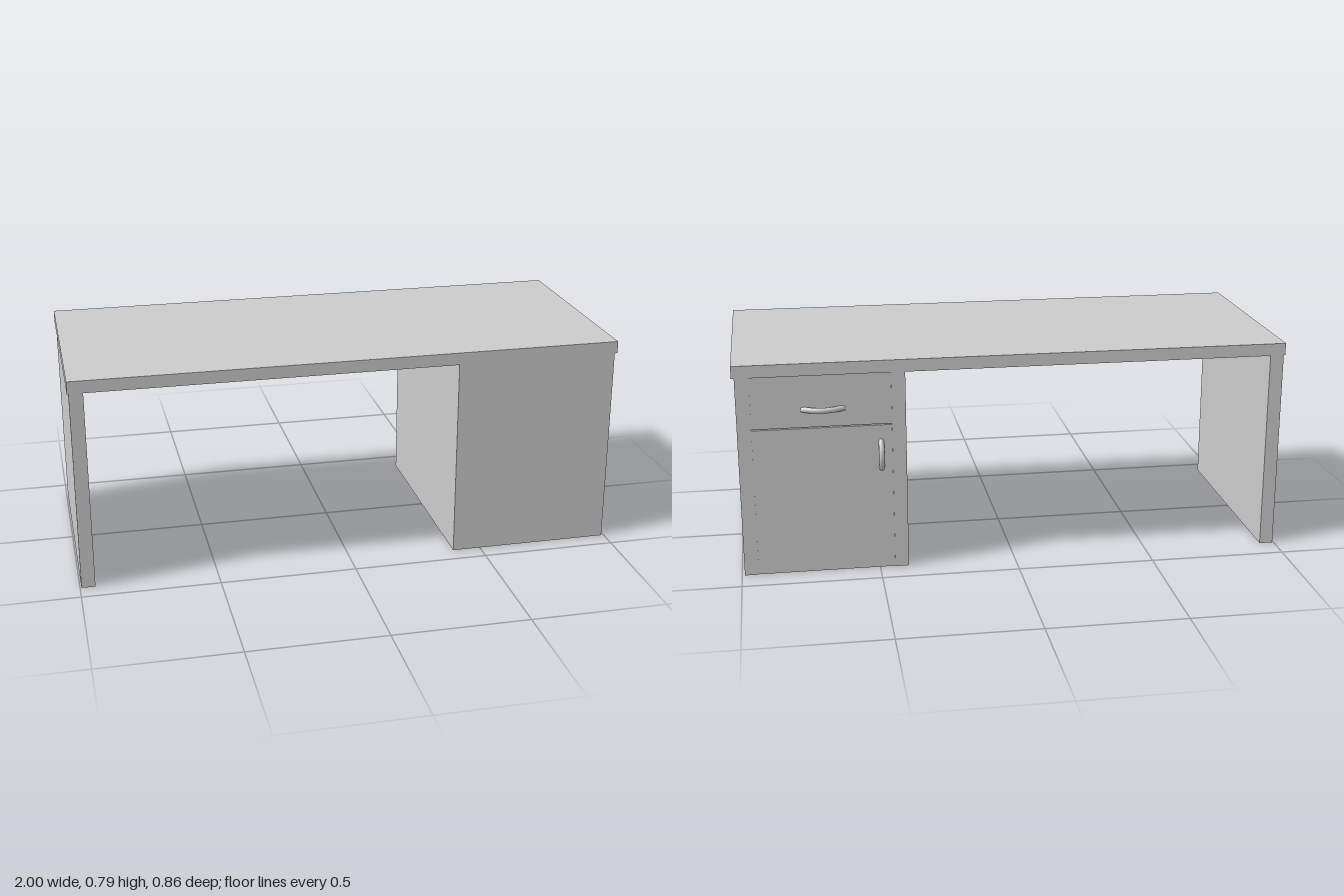
import * as THREE from 'three';

const material = new THREE.MeshStandardMaterial({ color: 0xcccccc });

export function createModel() {
  const desk = new THREE.Group();
  desk.name = 'desk';

  // Box given by its extents along each axis
  function board(name, [x0, x1], [y0, y1], [z0, z1], parent = desk) {
    const mesh = new THREE.Mesh(new THREE.BoxGeometry(x1 - x0, y1 - y0, z1 - z0), material);
    mesh.position.set((x0 + x1) / 2, (y0 + y1) / 2, (z0 + z1) / 2);
    mesh.name = name;
    parent.add(mesh);
    return mesh;
  }

  // Bowed pull handle, arching away from the back face
  function handle(name, x, y, halfLength, vertical, parent) {
    const depth = 0.027;
    const points = [];
    for (let i = -4; i <= 4; i++) {
      const t = i / 4;
      points.push(new THREE.Vector3(t * halfLength, 0, -depth * (1 - t * t)));
    }
    const path = new THREE.CatmullRomCurve3(points);
    const mesh = new THREE.Mesh(new THREE.TubeGeometry(path, 32, 0.01, 16), material);
    mesh.position.set(x, y, -0.394);
    if (vertical) mesh.rotation.z = Math.PI / 2;
    mesh.name = name;
    parent.add(mesh);
  }

  const topY = 0.74;
  const panelZ = [-0.403, 0.43];

  // Work surface and free-standing leg panel
  board('desktop', [-1, 1], [topY, 0.785], [-0.405, 0.43]);
  board('legPanel', [-0.995, -0.945], [0, topY], panelZ);

  // Cabinet shell, open underneath
  const cabinet = new THREE.Group();
  cabinet.name = 'cabinet';
  desk.add(cabinet);
  board('cabinetInnerSide', [0.395, 0.445], [0, topY], panelZ, cabinet);
  board('cabinetOuterSide', [0.94, 0.99], [0, topY], panelZ, cabinet);
  board('cabinetFrontPanel', [0.445, 0.94], [0, topY], [0.41, 0.43], cabinet);

  // Slightly recessed drawer and door, separated by a narrow gap
  const frontX = [0.445, 0.94];
  const frontZ = [-0.4, -0.38];
  board('drawerFront', frontX, [0.55, topY], frontZ, cabinet);
  board('door', frontX, [0, 0.546], frontZ, cabinet);
  handle('drawerHandle', 0.687, 0.615, 0.074, false, cabinet);
  handle('doorHandle', 0.485, 0.434, 0.053, true, cabinet);

  return desk;
}
